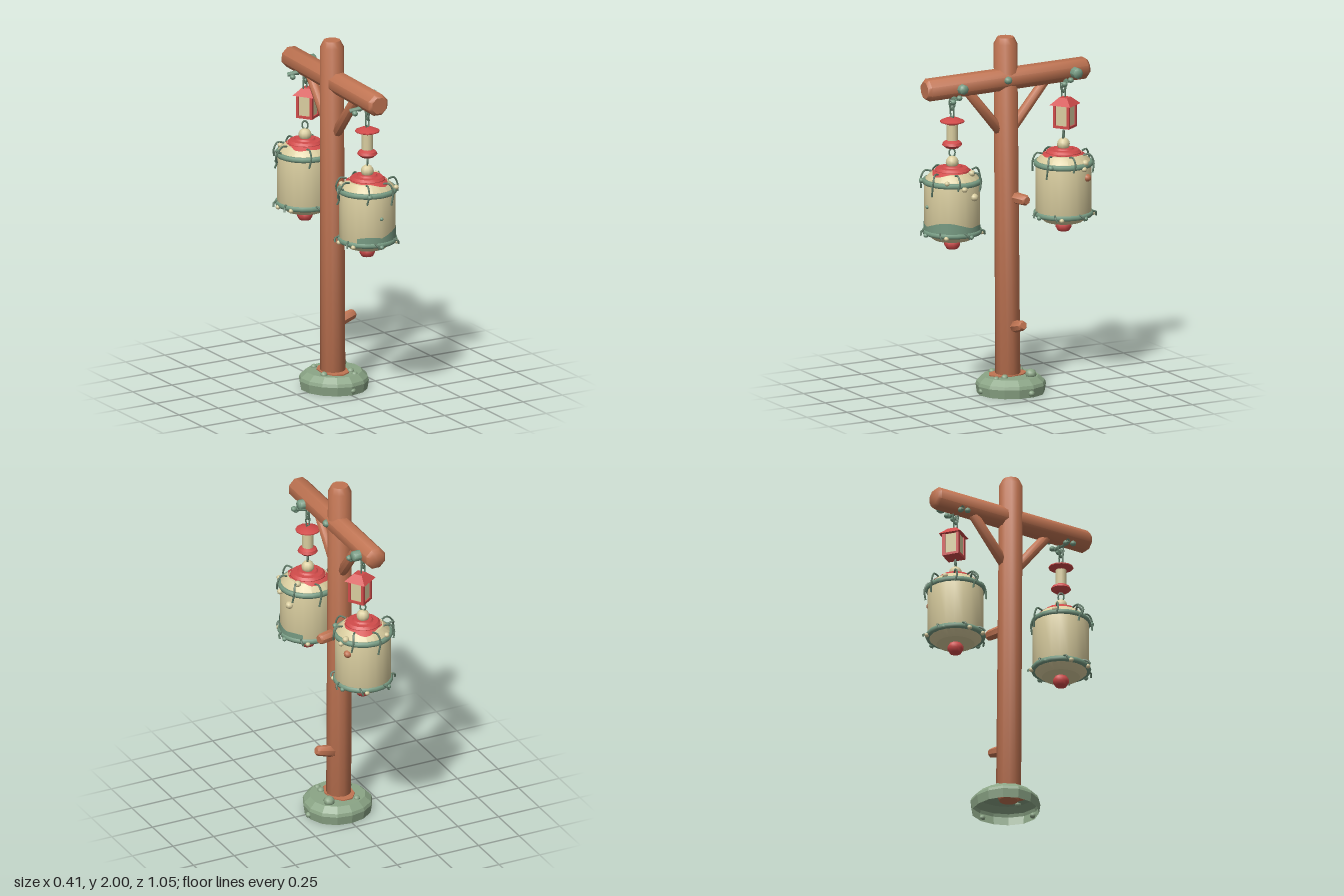
import * as THREE from 'three';
import { toCreasedNormals } from 'three/addons/utils/BufferGeometryUtils.js';
import { ParametricGeometry } from 'three/addons/geometries/ParametricGeometry.js';

const material = (name, color, side = THREE.FrontSide) => {
  const m = new THREE.MeshStandardMaterial({ color, side });
  m.name = name;
  return m;
};
const V = (x, y, z) => new THREE.Vector3(x, y, z);
const wood = material('wood', 0xc07452);
const moss = material('moss', 0x8ba586, THREE.DoubleSide);
const trim = material('trim green', 0x769a82, THREE.DoubleSide);
const vine = material('vine', 0x637f6b);
const cream = material('cream paper', 0xd9cd9f);
const red = material('red lacquer', 0xd04b4a, THREE.DoubleSide);

function add(parent, name, geometry, mat, x = 0, y = 0, z = 0) {
  const mesh = new THREE.Mesh(geometry, mat);
  mesh.name = name;
  mesh.position.set(x, y, z);
  parent.add(mesh);
  return mesh;
}

// Turned shape, profile given from bottom to top as [radius, height]
function turned(profile, sides, crease = 0.6) {
  const points = profile.map(([r, y]) => new THREE.Vector2(r, y));
  return toCreasedNormals(new THREE.LatheGeometry(points, sides), crease);
}

// Tapered log between two points, with bevelled ends
function log(parent, name, from, to, r0, r1, sides, bevel = 0.02, mat = wood, spin = 0) {
  const length = from.distanceTo(to);
  const geometry = turned([[0, 0], [r0 * 0.75, 0], [r0, bevel],
    [r1, length - bevel], [r1 * 0.72, length], [0, length]], sides, 0.85);
  geometry.rotateY(spin);
  const mesh = add(parent, name, geometry, mat, from.x, from.y, from.z);
  mesh.quaternion.setFromUnitVectors(V(0, 1, 0), to.clone().sub(from).normalize());
  return mesh;
}

function tube(parent, name, points, radius, mat = vine) {
  const curve = new THREE.CatmullRomCurve3(points);
  add(parent, name, new THREE.TubeGeometry(curve, 14, radius, 5), mat);
}

// Point around an upright axis: angle 0 is the front, a quarter turn is the left
const around = (a, r, y) => V(Math.sin(a) * r, y, Math.cos(a) * r);

function blob(parent, name, p, r, mat) {
  const mesh = add(parent, name, new THREE.SphereGeometry(r, 8, 6), mat, p.x, p.y, p.z);
  mesh.scale.y = 0.9;
}

function link(parent, y, rx, ry, turn) {
  const mesh = add(parent, 'chainLink', new THREE.TorusGeometry(1, 0.28, 5, 12), vine, 0, y, 0);
  mesh.scale.set(rx, ry, 0.018);
  mesh.rotation.y = turn;
}

// Large paper lantern with trim rings, lid, finial, tassel ball and growth
function bigLantern(parent, seed) {
  add(parent, 'lanternBody', turned([[0, 0.905], [0.105, 0.905], [0.148, 0.94], [0.155, 0.96],
    [0.155, 1.22], [0.148, 1.25], [0.112, 1.285], [0, 1.29]], 20), cream);
  for (const y of [0.95, 1.232]) {
    const ring = add(parent, 'trimRing', new THREE.TorusGeometry(0.151, 0.016, 7, 20), trim, 0, y, 0);
    ring.rotation.x = Math.PI / 2;
  }
  add(parent, 'lid', turned([[0.098, 1.275], [0.098, 1.295], [0.085, 1.308], [0.058, 1.31], [0.05, 1.318], [0, 1.318]], 16), red);
  add(parent, 'finial', new THREE.SphereGeometry(0.036, 10, 8), cream, 0, 1.337, 0);
  add(parent, 'tasselBall', turned([[0, 0.847], [0.032, 0.85], [0.044, 0.87], [0.044, 0.89], [0.03, 0.912]], 10, 1), red);

  // Uneven lacquer edge on the shoulder
  add(parent, 'lacquerEdge', new ParametricGeometry((u, v, out) => {
    const a = u * Math.PI * 2;
    const t = v * Math.max(0.05, 0.25 + 0.3 * Math.sin(a * 2 + seed) + 0.15 * Math.sin(a * 5));
    out.copy(around(a, 0.1 + t * 0.045, 1.293 - t * 0.03));
  }, 40, 2), red);

  // Curling sprigs over the upper ring and below the lower one
  for (let i = 0; i < 7; i++) {
    const a = -Math.PI / 2 + i * 0.9 + (i ? seed * 0.1 : 0);
    const reach = i ? 0 : 0.022;
    tube(parent, 'sprig', [around(a, 0.115, 1.285), around(a + 0.06, 0.15, 1.29),
      around(a + 0.1, 0.172 + reach, 1.25), around(a + 0.03, 0.17 + reach, 1.21 - (i % 3) * 0.02)], 0.0055);
    tube(parent, 'lowSprig', [around(a + 0.3, 0.155, 0.965), around(a + 0.36, 0.178, 0.955),
      around(a + 0.42, 0.18 + reach * 0.6, 0.935)], 0.006);
    blob(parent, 'bud', around(a + 0.55, 0.163, 0.94), 0.014, i % 2 ? trim : cream);
  }
  tube(parent, 'sideCurl', [V(-0.15, 1.25, 0), V(-0.18, 1.262, -0.01), V(-0.19, 1.235, 0.01),
    V(-0.18, 1.2, 0), V(-0.187, 1.17, -0.01)], 0.006);
}

function hangingSet(parent, name, x, y, z, seed) {
  const set = new THREE.Group();
  set.name = name;
  set.position.set(x, y, z);
  parent.add(set);
  bigLantern(set, seed);
  link(set, 1.39, 0.016, 0.024, seed);
  // Hanging loops and the twig they hang on
  link(set, 1.625, 0.014, 0.045, 0.3);
  link(set, 1.675, 0.018, 0.04, 1.6);
  tube(set, 'twig', [V(-0.1, 1.69, -0.02), V(-0.05, 1.705, 0.01), V(0.02, 1.7, 0), V(0.08, 1.71, 0.015)], 0.012, trim);
  [[-0.09, 1.685, 0.02], [-0.05, 1.7, 0], [0.06, 1.69, 0.025], [0.085, 1.715, 0]].forEach(
    ([bx, by, bz]) => blob(set, 'twigLeaf', V(bx, by, bz), 0.017, trim));
  return set;
}

export function createModel() {
  const model = new THREE.Group();
  model.name = 'lanternPost';

  // Hollow mossy base with faceted sides
  const base = new THREE.LatheGeometry([[0.186, 0], [0.194, 0.05], [0.188, 0.068], [0.155, 0.098], [0, 0.1]]
    .map(([r, y]) => new THREE.Vector2(r, y)), 14).toNonIndexed();
  const pos = base.attributes.position;
  for (let i = 0; i < pos.count; i++) {
    const a = Math.atan2(pos.getX(i), pos.getZ(i));
    const k = 1 + 0.025 * Math.sin(3 * a + 1);
    pos.setXYZ(i, pos.getX(i) * k, pos.getY(i), pos.getZ(i) * k);
  }
  base.computeVertexNormals();
  add(model, 'base', base, moss, 0.002, 0, -0.02);
  const soil = add(model, 'soil', new THREE.CylinderGeometry(1, 1, 0.008, 9), wood, -0.015, 0.101, -0.01);
  soil.scale.set(0.08, 1, 0.115);
  [[0.09, 0.11, -0.1, 0.032], [0.065, 0.1, 0.05, 0.02], [0.06, 0.095, 0.1, 0.018], [-0.1, 0.1, 0.04, 0.02],
    [0.01, 0.025, 0.165, 0.018], [0.19, 0.025, -0.05, 0.018], [-0.07, 0.1, -0.12, 0.018]].forEach(
    ([x, y, z, r]) => blob(model, 'mossClump', V(x, y, z), r, moss));

  // Post, crossbeam and braces
  log(model, 'post', V(-0.013, 0.06, -0.012), V(-0.024, 2, -0.003), 0.069, 0.065, 12, 0.035);
  log(model, 'crossbeam', V(-0.02, 1.755, 0.505), V(-0.003, 1.776, -0.5), 0.064, 0.062, 8, 0.018, wood, Math.PI / 8);
  for (const s of [1, -1]) {
    log(model, 'brace', V(-0.018, 1.475, 0.035 * s), V(-0.015, 1.735, 0.25 * s), 0.03, 0.028, 8, 0.01);
  }
  log(model, 'branchStub', V(0.02, 0.37, -0.025), V(0.135, 0.4, -0.03), 0.036, 0.028, 7, 0.012);
  log(model, 'branchStub', V(0.0, 1.1, -0.025), V(0.13, 1.1, -0.055), 0.034, 0.03, 7, 0.012);

  // Green growth on the beam
  log(model, 'beamStub', V(0.0, 1.75, 0.305), V(0.078, 1.755, 0.305), 0.03, 0.028, 8, 0.008, trim);
  log(model, 'beamStub', V(0.02, 1.77, -0.395), V(0.1, 1.77, -0.395), 0.032, 0.03, 8, 0.008, trim);
  blob(model, 'beamBud', V(0.046, 1.77, 0.018), 0.024, trim);

  // Front set with a spool-shaped small lantern
  const front = hangingSet(model, 'frontLanterns', -0.002, 0, 0.342, 1);
  add(front, 'spoolFoot', turned([[0, 1.415], [0.035, 1.418], [0.056, 1.435], [0.05, 1.45], [0.03, 1.462]], 12), red);
  add(front, 'spoolBody', new THREE.CylinderGeometry(0.031, 0.031, 0.11, 12), cream, 0, 1.51, 0);
  add(front, 'spoolRoof', turned([[0.03, 1.55], [0.068, 1.564], [0.068, 1.57], [0.035, 1.585], [0, 1.59]], 12), red);
  add(front, 'mossStain', new ParametricGeometry((u, v, out) => {
    const a = -0.9 + u * 3.4;
    const height = 0.035 + 0.035 * Math.abs(Math.sin(a * 1.7)) * Math.sin(u * Math.PI);
    out.copy(around(a, 0.1575, 0.955 + v * height));
  }, 30, 2), trim);
  [[0.9, 0.16, 1.25, 0.015], [1.5, 0.165, 1.215, 0.017], [1.97, 0.155, 1.16, 0.024],
    [2.2, 0.12, 1.285, 0.02], [-2.4, 0.15, 1.25, 0.015]].forEach(
    ([a, r, y, s]) => blob(front, 'creamBump', around(a, r, y), s, cream));
  blob(front, 'greenBump', around(0, 0.155, 1.1), 0.011, trim);
  blob(front, 'greenBump', around(-0.45, 0.168, 1.235), 0.016, trim);

  // Back set with a square small lantern
  const back = hangingSet(model, 'backLanterns', 0.008, 0.025, -0.348, 2.4);
  const house = new THREE.Group();
  house.name = 'squareLantern';
  house.position.set(0.018, 0, 0);
  house.rotation.y = 0.6;
  back.add(house);
  add(house, 'paperPanes', new THREE.BoxGeometry(0.082, 0.12, 0.082), cream, 0, 1.505, 0);
  for (const x of [-1, 1]) for (const z of [-1, 1]) {
    add(house, 'cornerPost', new THREE.BoxGeometry(0.016, 0.13, 0.016), red, x * 0.041, 1.505, z * 0.041);
  }
  add(house, 'floor', new THREE.BoxGeometry(0.098, 0.014, 0.098), red, 0, 1.443, 0);
  const roof = new THREE.CylinderGeometry(0.035, 0.09, 0.04, 4).toNonIndexed();
  roof.rotateY(Math.PI / 4);
  roof.computeVertexNormals();
  add(house, 'roof', roof, red, 0, 1.585, 0);
  [[2.0, 0.15, 1.25, 0.02], [1.85, 0.163, 1.22, 0.016], [-2.55, 0.15, 1.255, 0.016]].forEach(
    ([a, r, y, s]) => blob(back, 'creamBump', around(a, r, y), s, cream));
  blob(back, 'woodBump', around(2.1, 0.152, 1.165), 0.024, wood);
  blob(back, 'greenBump', around(0.65, 0.168, 1.235), 0.016, trim);

  return model;
}
